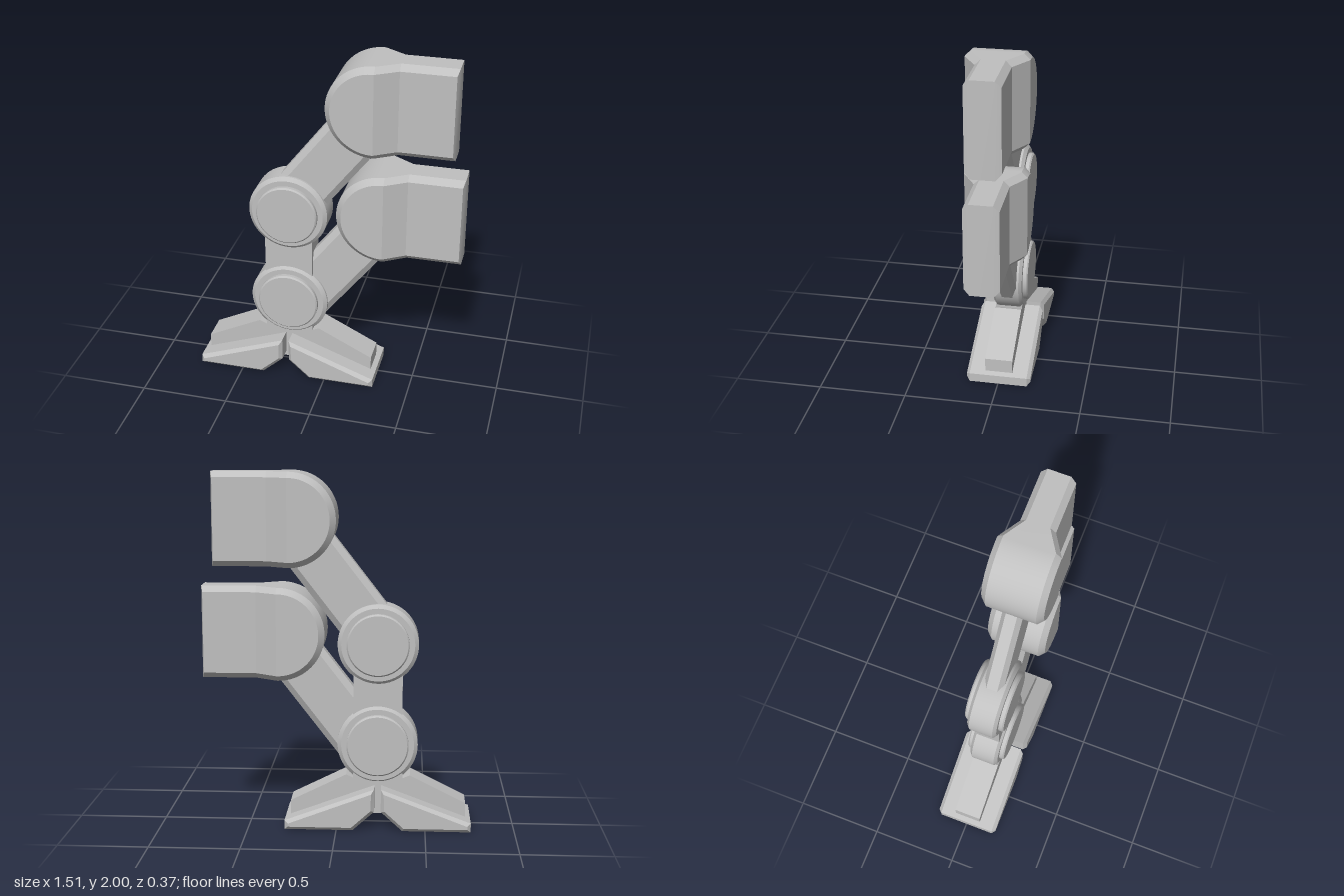
import * as THREE from 'three';
import { toCreasedNormals } from 'three/addons/utils/BufferGeometryUtils.js';

const grey = new THREE.MeshStandardMaterial({ color: 0xc0c0c0 });
grey.name = 'grey';
const CREASE = 0.4;

function part(name, geometry, parent) {
  const mesh = new THREE.Mesh(toCreasedNormals(geometry, CREASE), grey);
  mesh.name = name;
  parent.add(mesh);
  return mesh;
}

// Side outline extruded across z, centred, with a chamfer kept inside the outline
function plate(points, halfZ, chamferZ = 0, chamferXY = chamferZ) {
  const shape = new THREE.Shape(points.map(([x, y]) => new THREE.Vector2(x, y)));
  const depth = 2 * (halfZ - chamferZ);
  const g = new THREE.ExtrudeGeometry(shape, {
    depth, bevelEnabled: chamferZ > 0, bevelSegments: 1,
    bevelThickness: chamferZ, bevelSize: chamferXY, bevelOffset: -chamferXY,
  });
  return g.translate(0, 0, -depth / 2);
}

// Round-backed block that narrows towards its flat end, centred on the round
function blockGeometry() {
  const R = 0.26, B = 0.032, END = 0.43;
  const top = [
    { x: END, y: R, xi: END - 0.01, z: 0.095 },
    { x: 0.125, y: R, xi: 0.125, z: 0.095 },
    { x: 0.005, y: R, xi: 0.005, z: 0.17 },
  ].map((p) => ({ ...p, yi: R - B }));
  const N = 24;
  for (let i = 0; i <= N; i++) {
    const a = Math.PI / 2 * (1 + i / N);
    const c = Math.cos(a), s = i === N ? 0 : Math.sin(a);
    top.push({ x: R * c, y: R * s, xi: (R - B) * c, yi: (R - B) * s, z: 0.17 });
  }
  const flip = (p) => ({ ...p, y: -p.y, yi: -p.yi });
  const loop = [...top, ...top.slice(0, -1).reverse().map(flip)];
  const rings = [
    (p) => [p.xi, p.yi, p.z],
    (p) => [p.x, p.y, p.z - B],
    (p) => [p.x, p.y, B - p.z],
    (p) => [p.xi, p.yi, -p.z],
  ];
  const pos = [];
  const quad = (a, b, c, d) => pos.push(...a, ...b, ...c, ...a, ...c, ...d);
  // Rim and chamfers
  loop.forEach((p, i) => {
    const q = loop[(i + 1) % loop.length];
    for (let k = 0; k < 3; k++) quad(rings[k](p), rings[k + 1](p), rings[k + 1](q), rings[k](q));
  });
  // Side faces in strips from top edge to bottom edge
  for (let i = 0; i < top.length - 2; i++) {
    const p = top[i], q = top[i + 1];
    const f = rings[0], b = rings[3];
    quad(f(p), f(q), f(flip(q)), f(flip(p)));
    quad(b(flip(p)), b(flip(q)), b(q), b(p));
  }
  // Last sliver of each side face meets at one point
  const p = top[top.length - 2], q = top[top.length - 1];
  pos.push(...rings[0](p), ...rings[0](q), ...rings[0](flip(p)));
  pos.push(...rings[3](flip(p)), ...rings[3](q), ...rings[3](p));
  const g = new THREE.BufferGeometry();
  g.setAttribute('position', new THREE.Float32BufferAttribute(pos, 3));
  return g;
}

// Stepped disc with raised caps on both sides
function hingeGeometry() {
  const half = [[0, -0.113], [0.167, -0.113], [0.175, -0.105], [0.175, -0.085], [0.205, -0.085], [0.226, -0.068]];
  const profile = [...half, ...half.map(([r, y]) => [r, -y]).reverse()];
  const g = new THREE.LatheGeometry(profile.map(([r, y]) => new THREE.Vector2(r, y)), 64);
  return g.rotateX(Math.PI / 2);
}

export function createModel() {
  const model = new THREE.Group();
  model.name = 'jointedStand';

  // Two matching arms, each ending in a block
  [['upper', 0, 0], ['lower', 0.063, -0.628]].forEach(([name, x, y]) => {
    const group = new THREE.Group();
    group.name = name + 'Arm';
    group.position.set(x, y, 0);
    const bar = plate([[-0.87, -0.152], [0, -0.152], [0, 0.152], [-0.87, 0.152]], 0.056, 0.025, 0.035);
    const beam = part(name + 'Beam', bar, group);
    beam.position.set(0.273, 1.73, 0);
    beam.rotation.z = Math.atan2(0.79, 0.61);
    part(name + 'Block', blockGeometry(), group).position.set(0.262, 1.739, 0);
    model.add(group);
  });

  // Hinges, leg and ankle
  part('upperHinge', hingeGeometry(), model).position.set(-0.229, 1.047, 0);
  part('lowerHinge', hingeGeometry(), model).position.set(-0.229, 0.475, 0);
  part('leg', plate([[-0.367, 0.29], [-0.091, 0.29], [-0.091, 1.08], [-0.367, 1.08]], 0.072), model);
  part('ankle', plate([[-0.285, 0.075], [-0.175, 0.075], [-0.175, 0.22], [-0.09, 0.27], [-0.09, 0.31],
    [-0.37, 0.31], [-0.37, 0.27], [-0.285, 0.22]], 0.079), model);

  // Two feet spreading either way from the ankle
  [['left', 0], ['right', Math.PI]].forEach(([name, turn]) => {
    const foot = new THREE.Group();
    foot.name = name + 'Foot';
    foot.position.x = -0.232;
    foot.rotation.y = turn;
    part('sole', plate([[0.019, 0.11], [0.14, 0], [0.524, 0], [0.524, 0.052], [0.019, 0.24]], 0.186, 0.02), foot);
    part('footRidge', plate([[0.019, 0.12], [0.495, 0.03], [0.495, 0.143], [0.18, 0.3], [0.019, 0.23]], 0.079), foot);
    model.add(foot);
  });
  return model;
}
